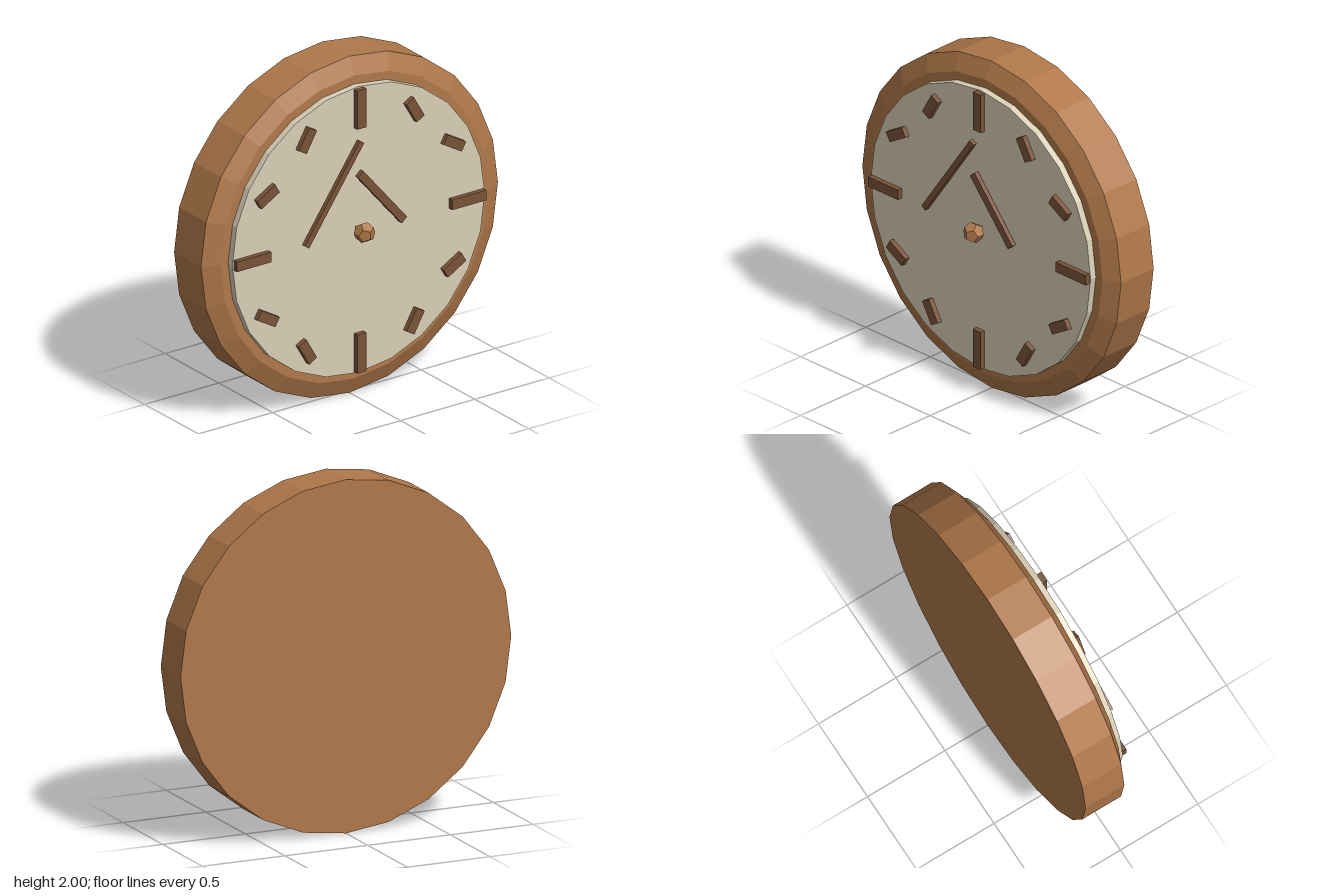
import * as THREE from 'three';

export function createModel() {
  const clock = new THREE.Group();
  clock.name = 'wallClock';
  const paint = (name, color) => {
    const m = new THREE.MeshStandardMaterial({ color, flatShading: true });
    m.name = name;
    return m;
  };
  const wood = paint('wood', 0xb0784a);
  const darkWood = paint('darkWood', 0x7a5339);
  const cream = paint('cream', 0xd9cfb6);

  const add = (name, geometry, material, x = 0, y = 1, z = 0) => {
    const mesh = new THREE.Mesh(geometry, material);
    mesh.name = name;
    mesh.position.set(x, y, z);
    clock.add(mesh);
    return mesh;
  };

  // 24-sided body with a bevelled front edge, turned to face +z
  const profile = [[0, -0.225], [1, -0.225], [1, 0.025], [0.9, 0.07], [0, 0.07]]
    .map(([r, z]) => new THREE.Vector2(r, z));
  add('frame', new THREE.LatheGeometry(profile, 24).rotateX(Math.PI / 2), wood);

  // raised dial
  add('dial', new THREE.CylinderGeometry(0.85, 0.85, 0.05, 24).rotateX(Math.PI / 2), cream, 0, 1, 0.085);

  // hour marks, long at the quarters; the short ones lean against the radius
  for (let i = 0; i < 12; i++) {
    const a = i * Math.PI / 6;
    const length = i % 3 === 0 ? 0.23 : 0.14;
    const mark = add('hourMark' + (i || 12), new THREE.BoxGeometry(0.06, length, 0.04), darkWood,
      0.725 * Math.sin(a), 1 + 0.725 * Math.cos(a), 0.12);
    mark.rotation.z = a;
  }

  // hands, each a bar between two points
  const hand = (name, x0, y0, x1, y1, width, z) => {
    const dx = x1 - x0, dy = y1 - y0;
    const bar = add(name, new THREE.BoxGeometry(width, Math.hypot(dx, dy), 0.027), darkWood,
      (x0 + x1) / 2, (y0 + y1) / 2, z);
    bar.rotation.z = Math.atan2(-dx, dy);
  };
  hand('minuteHand', -0.388, 1.01, -0.016, 1.543, 0.035, 0.152);
  hand('hourHand', 0.275, 1.003, -0.019, 1.348, 0.047, 0.144);

  // centre knob
  add('knob', new THREE.DodecahedronGeometry(0.06), wood, 0, 1, 0.165);

  return clock;
}
